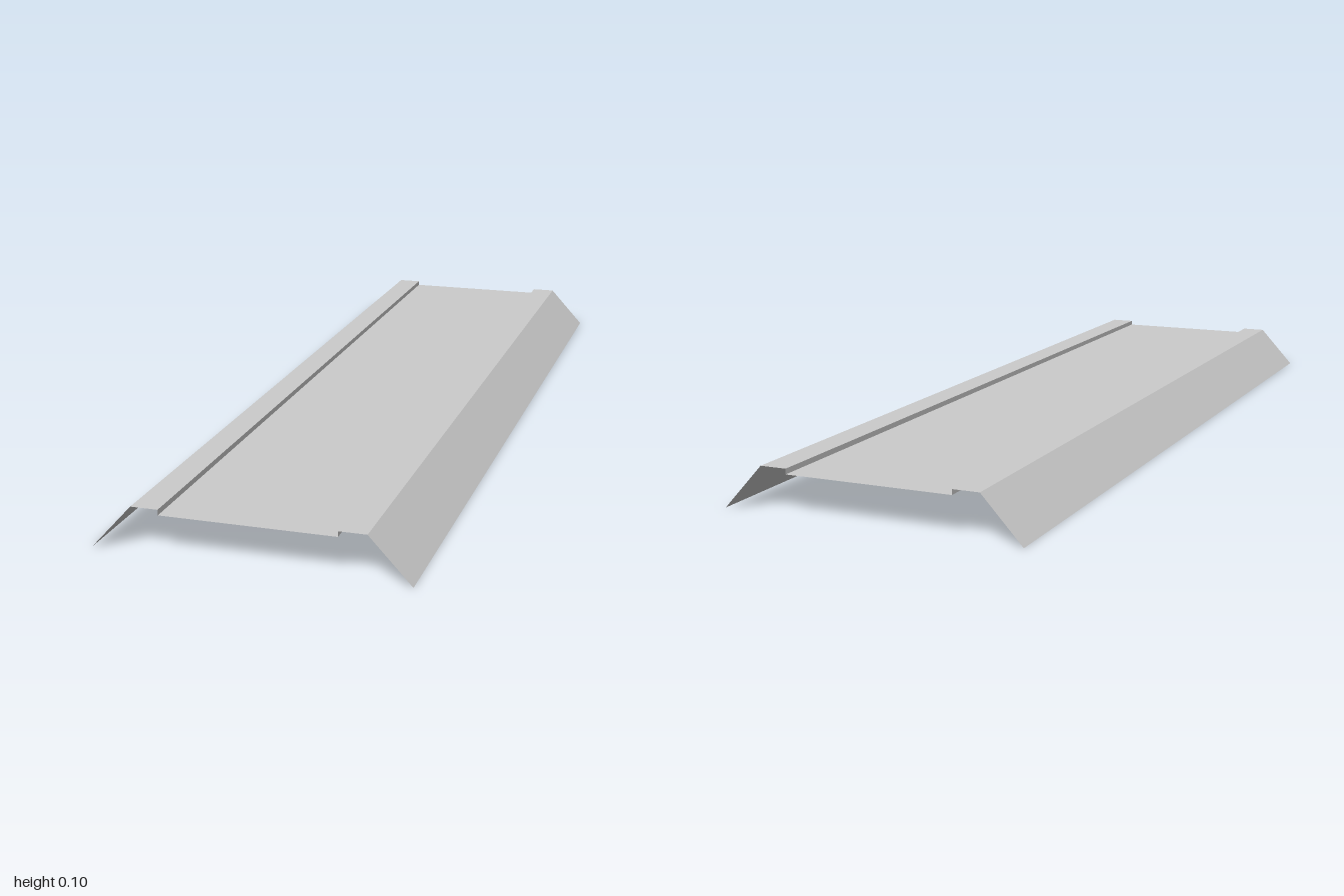
import * as THREE from 'three';

const LENGTH = 2;
const TOP = 0.1;
const PANEL = 0.088;

// Thin sheet strip running along z between two profile points, facing up when b is to the +x of a
function strip(name, a, b, material) {
  const geometry = new THREE.PlaneGeometry(Math.hypot(b[0] - a[0], b[1] - a[1]), LENGTH);
  geometry.rotateX(-Math.PI / 2);
  geometry.rotateZ(Math.atan2(b[1] - a[1], b[0] - a[0]));
  geometry.translate((a[0] + b[0]) / 2, (a[1] + b[1]) / 2, 0);
  const mesh = new THREE.Mesh(geometry, material);
  mesh.name = name;
  return mesh;
}

export function createModel() {
  const group = new THREE.Group();
  group.name = 'foldedSheet';
  const material = new THREE.MeshStandardMaterial({
    color: 0xcccccc, flatShading: true, side: THREE.DoubleSide,
  });

  // Half profile from the recessed panel out to the foot of the flange
  const profile = [[0.19, PANEL], [0.19, TOP], [0.25, TOP], [0.342, 0]];
  const parts = ['Step', 'Lip', 'Flange'];

  group.add(strip('centrePanel', [-0.19, PANEL], [0.19, PANEL], material));

  // Step, lip and sloping flange on both sides
  parts.forEach((part, i) => {
    const a = profile[i], b = profile[i + 1];
    group.add(strip('left' + part, a, b, material));
    group.add(strip('right' + part, [-b[0], b[1]], [-a[0], a[1]], material));
  });
  return group;
}
